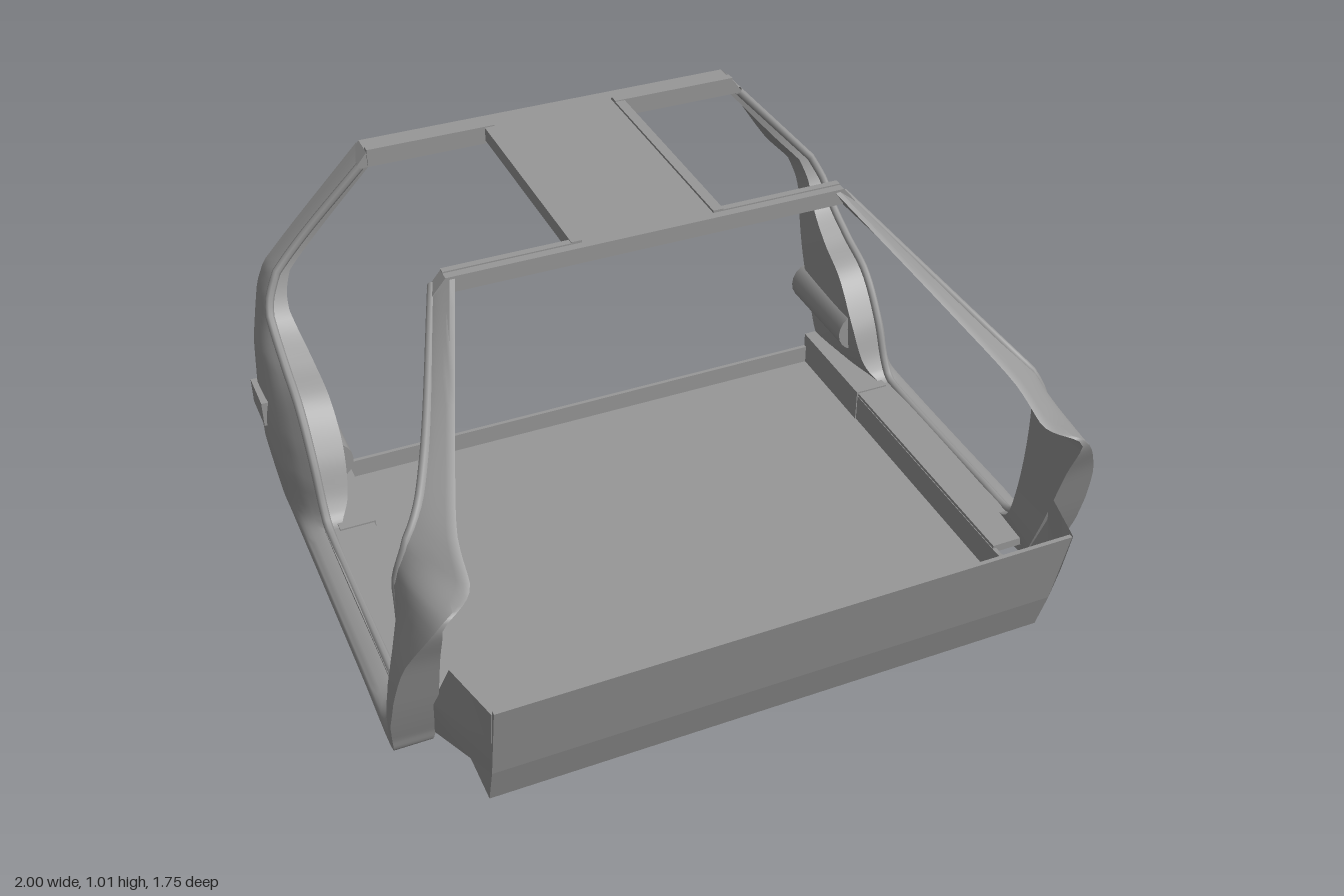
import * as THREE from 'three';
import { toCreasedNormals } from 'three/addons/utils/BufferGeometryUtils.js';

const mat = new THREE.MeshStandardMaterial({ color: 0x989898, side: THREE.DoubleSide });

// Half width of the body at height y
const BODY = [[0.06, 0.985], [0.2, 0.997], [0.3, 0.99], [0.45, 0.965], [0.6, 0.92], [0.66, 0.89], [1.0, 0.578]];
function halfWidth(y) {
  for (let i = 1; i < BODY.length; i++) {
    const [y0, x0] = BODY[i - 1], [y1, x1] = BODY[i];
    if (y <= y1 || i === BODY.length - 1) return x0 + (x1 - x0) * (Math.max(y, 0.06) - y0) / (y1 - y0);
  }
}

function add(parent, name, geometry) {
  const mesh = new THREE.Mesh(geometry, mat);
  mesh.name = name;
  parent.add(mesh);
  return mesh;
}

// Box given by its limits on each axis
function box(parent, name, x0, x1, y0, y1, z0, z1) {
  const mesh = add(parent, name, new THREE.BoxGeometry(x1 - x0, y1 - y0, z1 - z0));
  mesh.position.set((x0 + x1) / 2, (y0 + y1) / 2, (z0 + z1) / 2);
}

// Side profile [z, y] extruded across x0..x1
function slab(parent, name, points, x0, x1) {
  const shape = new THREE.Shape(points.map(([z, y]) => new THREE.Vector2(-z, y)));
  const g = new THREE.ExtrudeGeometry(shape, { depth: x1 - x0, bevelEnabled: false });
  g.rotateY(Math.PI / 2);
  g.translate(x0, 0, 0);
  add(parent, name, g);
}

// Roof cross bar with ends that follow the slope of the pillars
function header(parent, name, z0, z1) {
  const shape = new THREE.Shape([[-0.615, 0.953], [0.615, 0.953], [0.575, 1], [-0.575, 1]].map((p) => new THREE.Vector2(...p)));
  const g = new THREE.ExtrudeGeometry(shape, { depth: z1 - z0, bevelEnabled: false });
  g.translate(0, 0, z0);
  add(parent, name, g);
}

// Skin over rows of points
function loft(rows, closed, crease) {
  const n = rows[0].length, idx = [];
  for (let i = 0; i < rows.length - 1; i++) {
    for (let j = 0; j < (closed ? n : n - 1); j++) {
      const a = i * n + j, b = i * n + (j + 1) % n;
      idx.push(a, b, a + n, b, b + n, a + n);
    }
  }
  const g = new THREE.BufferGeometry();
  g.setAttribute('position', new THREE.Float32BufferAttribute(rows.flat(2), 3));
  g.setIndex(idx);
  return toCreasedNormals(g, crease);
}

// Door frame stations: outer edge [inset, y, z], door edge [depth, y, z]
const OUTER = [
  [0.02, 0.995, -0.05], [0.05, 0.8, 0.36], [0.07, 0.7, 0.57], [0.1, 0.635, 0.71], [0.04, 0.605, 0.765],
  [0, 0.45, 0.715], [0, 0.25, 0.655], [0, 0.12, 0.61], [0, 0.06, 0.585], [0, 0.06, 0.3],
  [0, 0.06, -0.2], [0, 0.06, -0.45], [0, 0.06, -0.55], [0, 0.1, -0.59], [0, 0.22, -0.66],
  [0, 0.36, -0.745], [0, 0.5, -0.82], [0, 0.62, -0.865], [0, 0.72, -0.87], [0, 0.995, -0.85],
];
const DOOR = [
  [0.04, 0.96, -0.09], [0.04, 0.77, 0.35], [0.05, 0.7, 0.47], [0.05, 0.65, 0.51], [0.05, 0.58, 0.525],
  [0.05, 0.42, 0.53], [0.05, 0.25, 0.515], [0.05, 0.15, 0.49], [0.04, 0.11, 0.44], [0.03, 0.105, 0.3],
  [0.03, 0.105, -0.2], [0.05, 0.115, -0.27], [0.08, 0.16, -0.31], [0.1, 0.28, -0.37], [0.1, 0.4, -0.47],
  [0.09, 0.46, -0.6], [0.07, 0.54, -0.73], [0.05, 0.65, -0.785], [0.05, 0.75, -0.795], [0.04, 0.96, -0.77],
];
const curve = (pts) => new THREE.CatmullRomCurve3(pts.map((p) => new THREE.Vector3(...p)));

function buildSide() {
  const side = new THREE.Group();
  const outer = curve(OUTER), door = curve(DOOR);
  const rows = [], bead = [], STEPS = 100, ACROSS = 8;
  for (let i = 0; i <= STEPS; i++) {
    const q = outer.getPoint(i / STEPS), p = door.getPoint(i / STEPS), row = [];
    // The door edge is set in from the outer panel low down
    const inset = Math.max(halfWidth(p.y) - 0.925, 0.008);
    for (let k = 0; k <= ACROSS; k++) {
      const s = k / ACROSS, y = q.y + (p.y - q.y) * s;
      row.push([halfWidth(y) - q.x * (1 - s) - inset * s ** 3, y, q.z + (p.z - q.z) * s]);
    }
    const xq = row[0][0], xp = row[ACROSS][0];
    row.push([xp - p.x, p.y, p.z], [Math.min(xq - 0.015, xp - p.x), q.y, q.z]);
    rows.push(row);
    bead.push(new THREE.Vector3(xp - 0.008, p.y, p.z));
  }
  add(side, 'pillarsAndSill', loft(rows, true, 0.6));

  // Rolled lip around the door opening
  add(side, 'doorLip', new THREE.TubeGeometry(new THREE.CatmullRomCurve3(bead), 120, 0.013, 8));

  // Lips around the roof opening
  box(side, 'roofLipInner', 0.19, 0.22, 0.965, 1.007, -0.8, -0.07);
  box(side, 'roofLipFront', 0.19, 0.575, 0.96, 1.004, -0.09, -0.07);
  box(side, 'roofLipRear', 0.19, 0.575, 0.96, 1.01, -0.79, -0.765);

  // Inner sill ledge and the wider rear corner of the floor
  box(side, 'sillLedge', 0.79, 0.93, 0.085, 0.11, -0.4, 0.56);
  box(side, 'rearFloorCorner', 0.785, 0.89, 0, 0.115, -0.6, -0.24);

  // Low wall along the floor edge
  slab(side, 'floorSideWall', [[-0.6, 0], [0.78, 0], [0.82, 0.13], [0.58, 0.1], [-0.6, 0.1]], 0.788, 0.8);

  // Flange between firewall and front pillar, with its lower shelf
  const front = [[0.805, 0.385, 0.872], [0.805, 0.25, 0.845], [0.8, 0.13, 0.82], [0.79, 0.12, 0.74]];
  const back = [[0.85, 0.385, 0.69], [0.89, 0.25, 0.65], [0.88, 0.1, 0.6], [0.79, 0.1, 0.6]];
  add(side, 'firewallFlange', loft([front, back], false, 0.3));

  // Rear inner tube and outer bracket
  const tube = add(side, 'rearInnerTube', new THREE.CylinderGeometry(0.07, 0.07, 0.33, 20));
  tube.rotation.x = Math.PI / 2;
  tube.position.set(0.865, 0.235, -0.56);
  box(side, 'rearBracket', 0.93, 1.0, 0.26, 0.34, -0.75, -0.615);
  return side;
}

export function createModel() {
  const model = new THREE.Group();
  model.name = 'carCabinFrame';

  // Floor pan with firewall and low rear wall, one thin profile across the car
  slab(model, 'floorPan', [
    [-0.6, 0], [0.78, 0], [0.82, 0.13], [0.875, 0.387], [0.863, 0.387],
    [0.808, 0.13], [0.77, 0.012], [-0.588, 0.012], [-0.588, 0.07], [-0.6, 0.07],
  ], -0.8, 0.8);

  // Roof
  box(model, 'roofBar', -0.2, 0.2, 0.982, 1.0, -0.84, -0.05);
  header(model, 'frontHeader', -0.088, -0.045);
  header(model, 'rearHeader', -0.85, -0.77);

  // Left and right sides
  for (const [name, s] of [['leftSide', 1], ['rightSide', -1]]) {
    const side = buildSide();
    side.name = name;
    side.scale.x = s;
    model.add(side);
  }
  return model;
}
